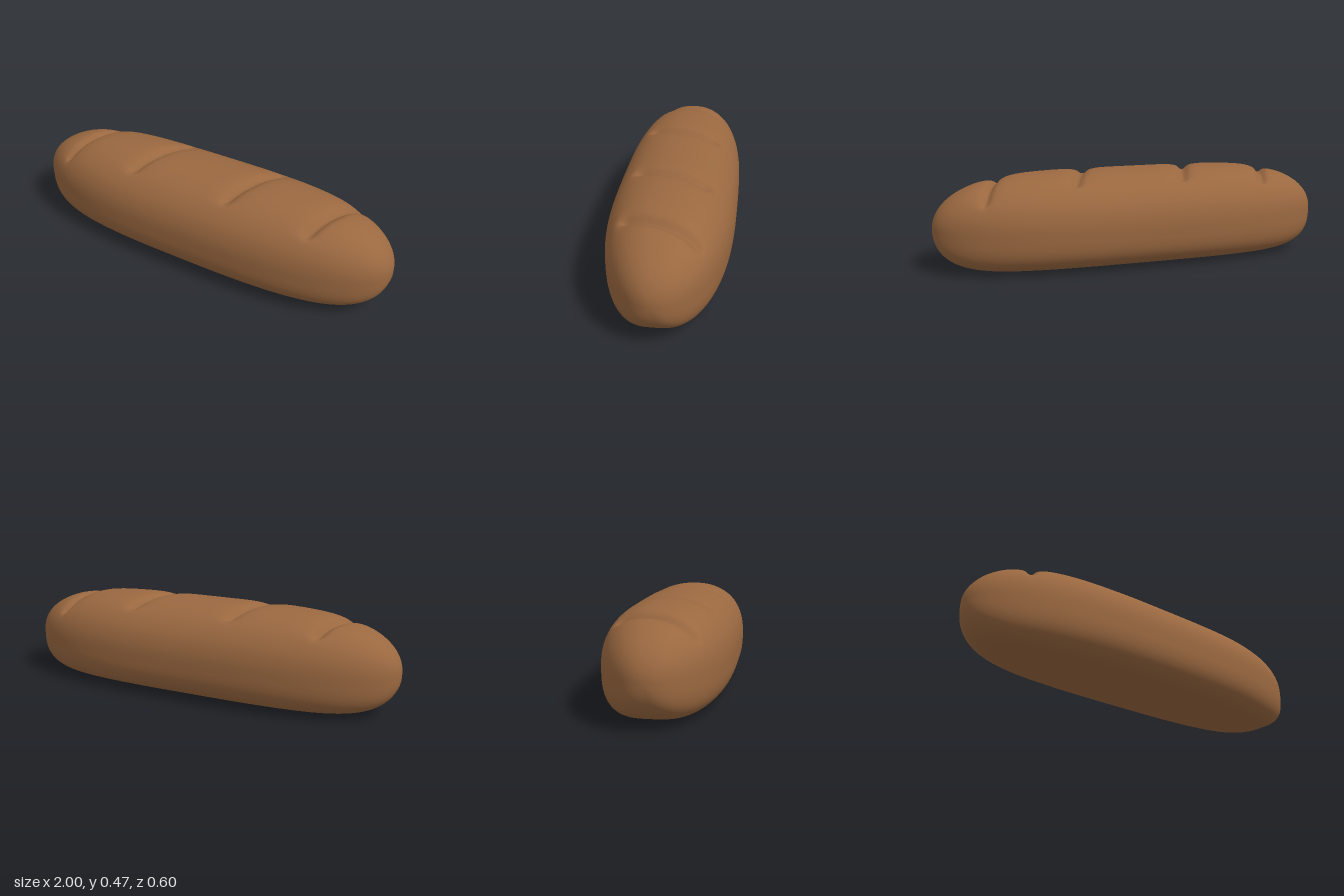
import * as THREE from 'three';
import { mergeVertices } from 'three/addons/utils/BufferGeometryUtils.js';

const RINGS = 260, SIDES = 100, MID = 0.21;
const WIDTH = 0.302, TOP = 0.26, BOTTOM = 0.208;
const CUTS = [-0.705, -0.27, 0.27, 0.7]; // centres of the diagonal slashes

// rounded taper from 1 in the middle to 0 at the tips
const taper = (x, n, m) => Math.pow(Math.max(0, 1 - Math.pow(Math.abs(x), n)), 1 / m);
const power = (v, e) => Math.sign(v) * Math.pow(Math.abs(v), e);
const gauss = (d, s) => Math.exp(-(d * d) / (s * s));

// how far the crust sinks at a point of the upper side
function slashDepth(x, z) {
  const fade = 1 - THREE.MathUtils.smoothstep(Math.abs(z), 0.15, 0.21);
  let depth = 0;
  for (const c of CUTS) {
    const d = x - (c - 0.35 * z);
    depth += 0.024 * gauss(d, 0.022) + 0.011 * gauss(d, 0.06);
  }
  return depth * fade;
}

// loaf: superellipse cross-sections swept along x, rounder above and flatter below
function loafGeometry() {
  const positions = [], index = [];
  for (let i = 0; i <= RINGS; i++) {
    const x = -Math.cos((Math.PI * i) / RINGS);
    const w = WIDTH * taper(x, 3, 2);
    const up = TOP * taper(x, 4.5, 2);
    const down = BOTTOM * taper(x, 8, 2.2);
    for (let j = 0; j < SIDES; j++) {
      const a = (2 * Math.PI * j) / SIDES;
      const upper = j <= SIDES / 2;
      const e = 2 / (upper ? 2.25 : 3.2);
      const z = w * power(Math.cos(a), e);
      let y = MID + (upper ? up : down) * power(Math.sin(a), e);
      if (upper) y -= slashDepth(x, z) * THREE.MathUtils.smoothstep(y, 0.3, 0.38);
      positions.push(x, y, z);
      if (i < RINGS) {
        const k = i * SIDES, n = (j + 1) % SIDES;
        const p = k + j, q = k + n;
        index.push(p, p + SIDES, q, q, p + SIDES, q + SIDES);
      }
    }
  }
  const geometry = new THREE.BufferGeometry();
  geometry.setAttribute('position', new THREE.Float32BufferAttribute(positions, 3));
  geometry.setIndex(index);
  const merged = mergeVertices(geometry, 1e-5);
  merged.computeVertexNormals();
  return merged;
}

export function createModel() {
  const group = new THREE.Group();
  group.name = 'breadLoaf';
  const crust = new THREE.MeshStandardMaterial({ color: 0x9a6840 });
  crust.name = 'brown crust';
  const loaf = new THREE.Mesh(loafGeometry(), crust);
  loaf.name = 'loaf';
  group.add(loaf);
  return group;
}
